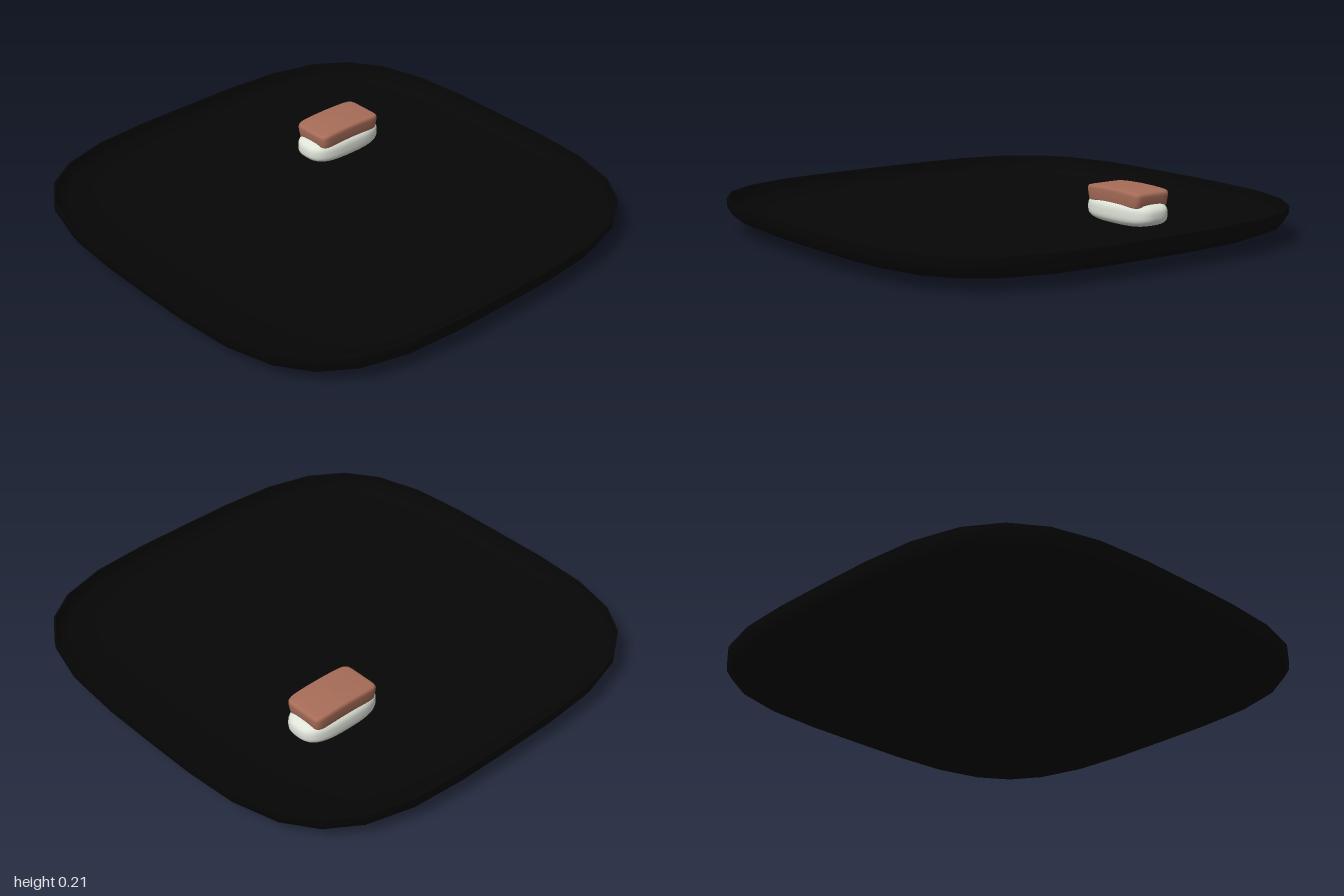
import * as THREE from 'three';

// Rounded-square ring: walk a unit square and pull it onto a superellipse
function ring(n, perSide) {
  const pts = [];
  for (let side = 0; side < 4; side++) {
    for (let i = 0; i < perSide; i++) {
      const u = (i / perSide) * 2 - 1;
      const [x, z] = [[1, u], [-u, 1], [-1, -u], [u, -1]][side];
      const r = Math.pow(Math.abs(x) ** n + Math.abs(z) ** n, -1 / n);
      pts.push([x * r, z * r]);
    }
  }
  return pts;
}

// Quarter superellipse from the pole to the equator, as [scale, depth] pairs
function quarter(n, steps) {
  const pts = [];
  for (let i = 0; i <= 2 * steps; i++) {
    const s = Math.min(i / steps, 1), d = Math.min(2 - i / steps, 1);
    const r = Math.pow(s ** n + d ** n, -1 / n);
    pts.push([s * r, d * r]);
  }
  return pts;
}

// Skin a ring along rows of [scale, y]; a repeated row makes a sharp edge
function loft(outline, rows, halfX, halfZ) {
  const pos = [], idx = [], m = outline.length;
  for (const [s, y] of rows) {
    for (const [x, z] of outline) pos.push(x * s * halfX, y, z * s * halfZ);
  }
  for (let r = 0; r < rows.length - 1; r++) {
    for (let j = 0; j < m; j++) {
      const a = r * m + j, b = r * m + ((j + 1) % m), c = a + m, d = b + m;
      if (rows[r][0] > 0) idx.push(a, c, b);
      if (rows[r + 1][0] > 0) idx.push(b, c, d);
    }
  }
  const geo = new THREE.BufferGeometry();
  geo.setAttribute('position', new THREE.Float32BufferAttribute(pos, 3));
  geo.setIndex(idx);
  geo.computeVertexNormals();
  return geo;
}

function material(name, color) {
  const mat = new THREE.MeshStandardMaterial({ color });
  mat.name = name;
  return mat;
}

export function createModel() {
  const model = new THREE.Group();
  const add = (name, geo, mat, parent = model) => {
    const mesh = new THREE.Mesh(geo, mat);
    mesh.name = name;
    parent.add(mesh);
  };

  // Thin-walled square dish: underside, narrow rim, then the inside
  const rim = 0.14;
  const bowl = quarter(3.72, 4);
  const outside = bowl.map(([s, d]) => [s, rim - rim * d]);
  const inside = bowl.map(([s, d]) => [s * 0.993, rim - (rim - 0.01) * d]).reverse();
  add('plate', loft(ring(3.75, 8), [
    ...outside, outside.at(-1), inside[0], ...inside,
  ], 1, 1), material('black glaze', 0x060606));

  const piece = new THREE.Group();
  piece.name = 'sushiPiece';
  piece.position.set(-0.372, 0, -0.355);
  model.add(piece);

  // Pillow-shaped block of rice
  const pillow = quarter(3.3, 6);
  const lower = pillow.map(([s, d]) => [s, 0.105 - 0.055 * d]);
  const upper = pillow.map(([s, d]) => [s, 0.105 + 0.055 * d]).reverse();
  add('rice', loft(ring(3, 12), [...lower, ...upper.slice(1)], 0.102, 0.193),
    material('rice white', 0xdfe4d9), piece);

  // Fish slice, drooping slightly towards both ends
  const slice = loft(ring(9, 16), [
    [0, 0.146], [0.5, 0.146], [0.85, 0.144], [0.93, 0.142], [0.96, 0.146], [0.985, 0.17],
    [1, 0.188], [0.995, 0.196], [0.97, 0.203], [0.92, 0.205], [0.5, 0.206], [0, 0.206],
  ], 0.095, 0.163);
  const p = slice.attributes.position;
  for (let i = 0; i < p.count; i++) p.setY(i, p.getY(i) - 0.25 * p.getZ(i) ** 2);
  slice.computeVertexNormals();
  add('fishSlice', slice, material('fish brown', 0xa86d59), piece);

  return model;
}
